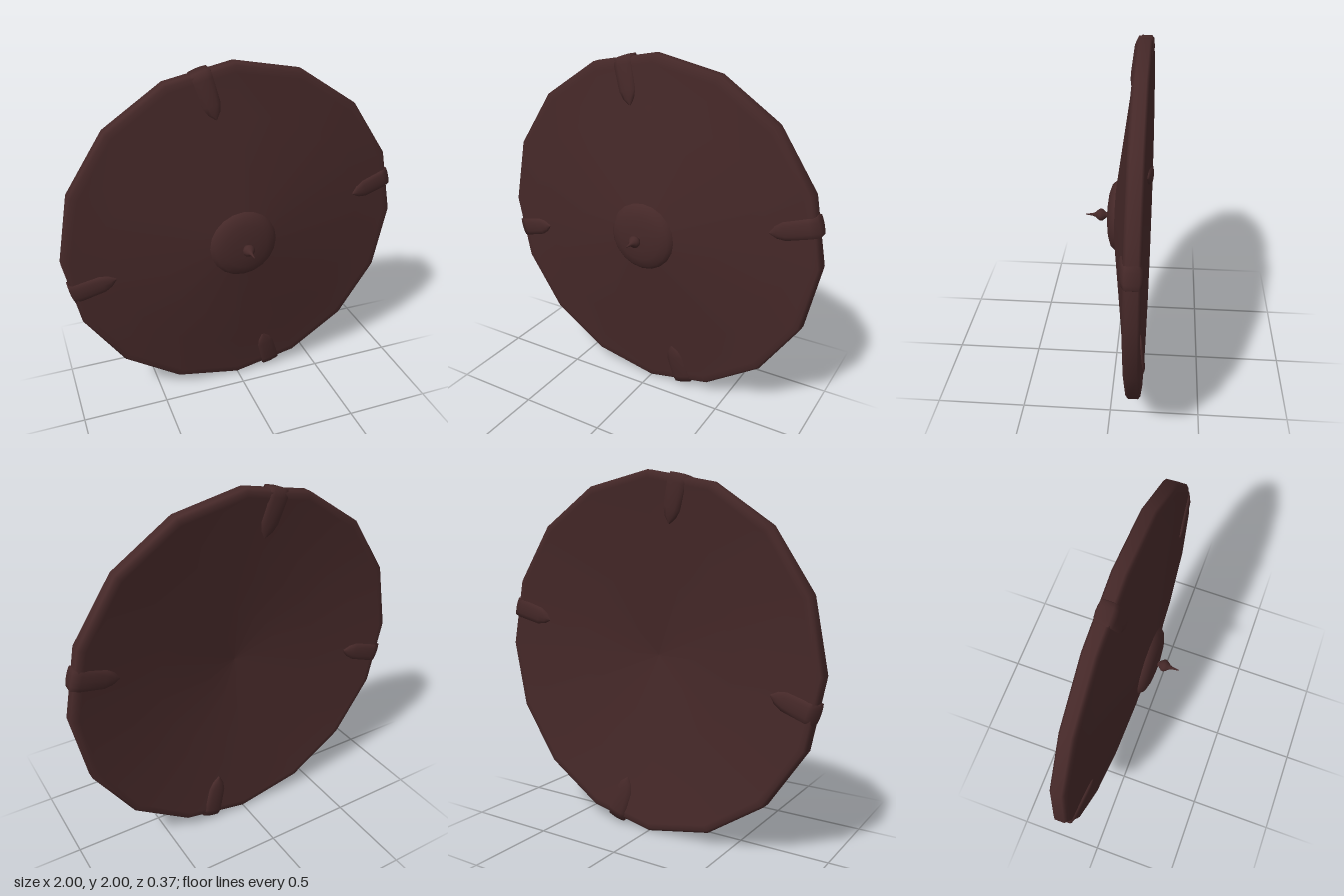
import * as THREE from 'three';

const maroon = new THREE.MeshStandardMaterial({ color: 0x452828 });
maroon.name = 'darkMaroon';
maroon.side = THREE.DoubleSide;

// Revolve a [radius, z] profile, listed from back to front, around the z axis
function turned(name, profile, sides) {
  const geo = new THREE.LatheGeometry(profile.map(([r, z]) => new THREE.Vector2(r, z)), sides);
  geo.rotateX(Math.PI / 2);
  const mesh = new THREE.Mesh(geo, maroon);
  mesh.name = name;
  return mesh;
}

// Pointed strap that folds over the rim from the front face to the back face
function clipGeometry() {
  // distance from centre, z, half width, outward normal (radial, z), thickness factor
  const stations = [
    [0.73, -0.075, 0.004, 0, 1, 0.4],
    [0.765, -0.079, 0.035, 0, 1, 0.9],
    [0.81, -0.083, 0.053, 0, 1, 1],
    [0.945, -0.096, 0.057, 0, 1, 0.8],
    [0.984, -0.108, 0.057, 0.8, 0.6, 0.5],
    [0.986, -0.166, 0.057, 0.8, -0.6, 0.5],
    [0.945, -0.174, 0.057, 0, -1, 0.7],
    [0.81, -0.156, 0.053, 0, -1, 1],
    [0.765, -0.151, 0.035, 0, -1, 0.9],
    [0.73, -0.147, 0.004, 0, -1, 0.4],
  ];
  // across the strap: position, lift
  const across = [[-1, -0.012], [-0.93, 0.008], [-0.5, 0.015], [0, 0.018], [0.5, 0.015], [0.93, 0.008], [1, -0.012]];
  const n = across.length, pos = [], index = [];
  stations.forEach(([p, z, w, np, nz, f], i) => {
    across.forEach(([t, lift], j) => {
      pos.push(p + np * lift * f, -0.064 + t * w, z + nz * lift * f);
      if (i < stations.length - 1 && j < n - 1) {
        const a = i * n + j, b = a + n;
        index.push(a, b, a + 1, b, b + 1, a + 1);
      }
    });
  });
  const geo = new THREE.BufferGeometry();
  geo.setAttribute('position', new THREE.Float32BufferAttribute(pos, 3));
  geo.setIndex(index);
  geo.computeVertexNormals();
  return geo;
}

export function createModel() {
  const model = new THREE.Group();
  model.name = 'roundShield';
  const shield = new THREE.Group();
  shield.name = 'shieldAssembly';
  shield.position.y = 1;
  model.add(shield);

  // Dished body: hollow back, thick rim, shallow cone front
  shield.add(turned('shieldBody', [
    [0, -0.06], [0.5, -0.115], [0.93, -0.169], [0.955, -0.178], [0.985, -0.177], [1, -0.165],
    [1, -0.112], [0.985, -0.098], [0.95, -0.094], [0.73, -0.073], [0.2, 0], [0, 0.01],
  ], 16));

  // Central boss and its finial spike
  shield.add(turned('boss', [
    [0.198, -0.01], [0.197, 0.004], [0.175, 0.027], [0.13, 0.042], [0.07, 0.05], [0, 0.052],
  ], 20));
  shield.add(turned('spike', [
    [0.02, 0.045], [0.013, 0.056], [0.02, 0.064], [0.033, 0.08], [0.035, 0.093], [0.026, 0.108],
    [0.013, 0.122], [0.007, 0.14], [0.004, 0.165], [0, 0.182],
  ], 14));

  // Four rim clips
  const clipGeo = clipGeometry();
  for (let k = 0; k < 4; k++) {
    const clip = new THREE.Mesh(clipGeo, maroon);
    clip.name = 'rimClip' + (k + 1);
    clip.rotation.z = THREE.MathUtils.degToRad(16 + 90 * k);
    clip.position.set(k % 2 ? 0.018 : 0, k % 2 ? 0 : 0.018, 0);
    shield.add(clip);
  }
  return model;
}
